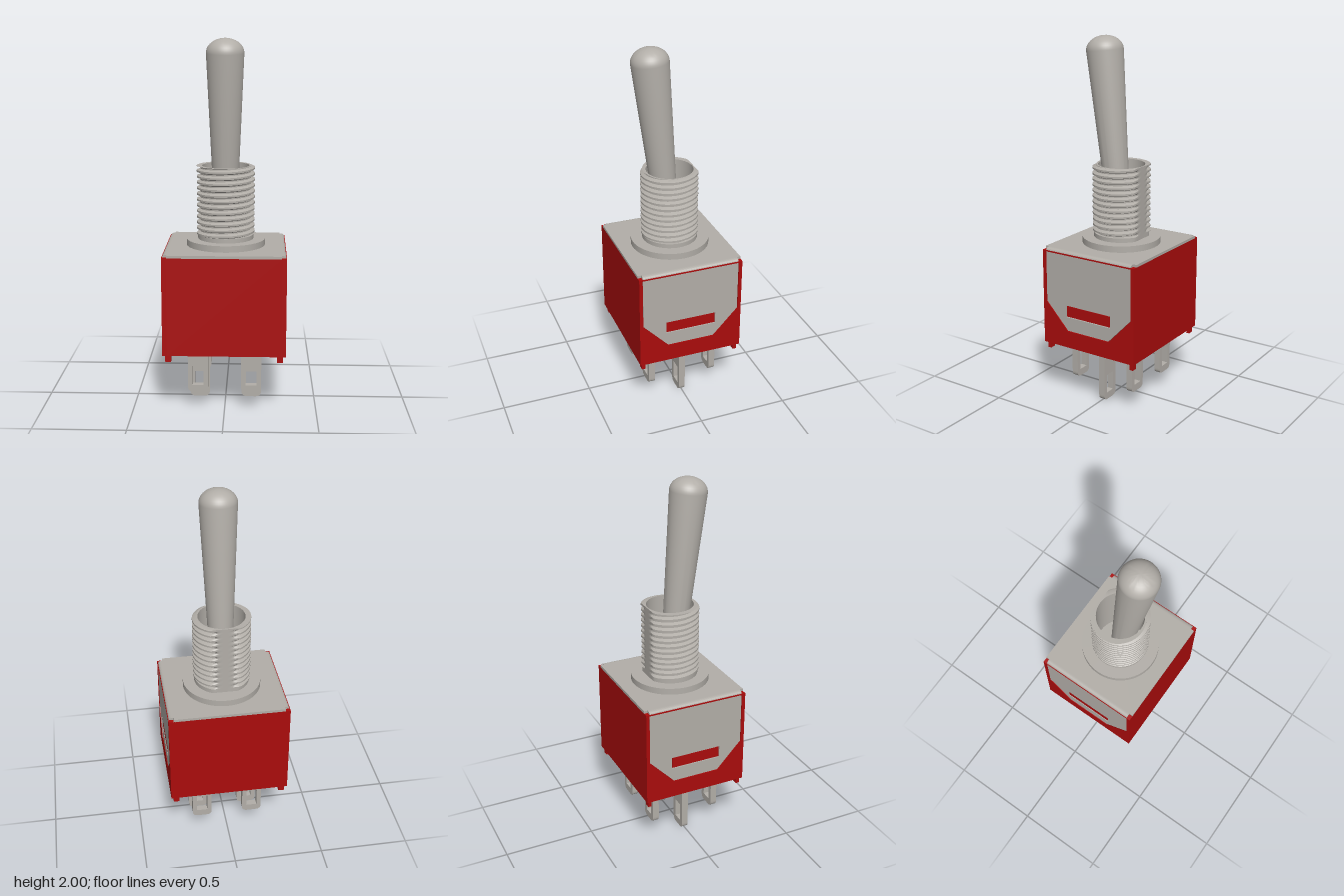
import * as THREE from 'three';
import { toCreasedNormals } from 'three/addons/utils/BufferGeometryUtils.js';

const red = new THREE.MeshStandardMaterial({ color: 0xaa0c0c });
red.name = 'red plastic';
const grey = new THREE.MeshStandardMaterial({ color: 0xb2aea8 });
grey.name = 'grey metal';

function add(parent, name, geometry, material, x = 0, y = 0, z = 0) {
  const mesh = new THREE.Mesh(geometry, material);
  mesh.name = name;
  mesh.position.set(x, y, z);
  parent.add(mesh);
  return mesh;
}

const polygon = (pts) => pts.map(([x, y]) => new THREE.Vector2(x, y));
const rectangle = (x0, y0, x1, y1) => polygon([[x0, y0], [x1, y0], [x1, y1], [x0, y1]]);
const extrude = (shape, depth) =>
  new THREE.ExtrudeGeometry(shape, { depth, bevelEnabled: false, curveSegments: 8 });

// Hexagonal outline of the bracket's side plate
const plateOutline = (grow) => polygon([
  [-0.132 - grow, 0.433 - grow], [0.132 + grow, 0.433 - grow], [0.272 + grow, 0.58],
  [0.272 + grow, 0.865], [-0.272 - grow, 0.865], [-0.272 - grow, 0.58],
]);

// Threaded bushing: rows follow the helix, cut to a flat at the back
function bushingGeometry() {
  const bottom = 0.945, top = 1.322, pitch = 0.0314, segments = 72, flat = -0.135;
  const root = 0.138, crest = 0.158, bore = 0.128;
  const radiusAt = (phase) => {
    const p = phase - Math.floor(phase);
    if (p < 0.2) return root;
    if (p < 0.45) return root + (crest - root) * (p - 0.2) / 0.25;
    if (p < 0.75) return crest;
    return crest - (crest - root) * (p - 0.75) / 0.25;
  };
  const rows = [() => [0.152, 0.915], () => [0.152, bottom]];
  for (let turn = 0; turn < 14; turn++) {
    for (const step of [0, 0.2, 0.45, 0.75]) {
      rows.push((a) => {
        const y = THREE.MathUtils.clamp(bottom + (turn + step - a) * pitch, bottom, top);
        return [radiusAt((y - bottom) / pitch + a + 1e-6), y];
      });
    }
  }
  rows.push(() => [bore, top], () => [bore, 0.915]);
  const positions = [], index = [];
  rows.forEach((row, j) => {
    for (let i = 0; i <= segments; i++) {
      const a = i / segments, [r, y] = row(a);
      const angle = a * Math.PI * 2;
      positions.push(r * Math.cos(angle), y, Math.max(flat, r * Math.sin(angle)));
      if (j === rows.length - 1 || i === segments) continue;
      const k = j * (segments + 1) + i, up = k + segments + 1;
      index.push(k, up, k + 1, k + 1, up, up + 1);
    }
  });
  const geometry = new THREE.BufferGeometry();
  geometry.setAttribute('position', new THREE.Float32BufferAttribute(positions, 3));
  geometry.setIndex(index);
  return toCreasedNormals(geometry, 0.5);
}

// Solder lug with rounded lower corners and an eye
function lugGeometry(length) {
  const w = 0.055, c = 0.03;
  const shape = new THREE.Shape();
  shape.moveTo(-w, length);
  shape.lineTo(-w, c);
  shape.quadraticCurveTo(-w, 0, -w + c, 0);
  shape.lineTo(w - c, 0);
  shape.quadraticCurveTo(w, 0, w, c);
  shape.lineTo(w, length);
  shape.holes.push(new THREE.Path(rectangle(-0.03, 0.04, 0.03, 0.148)));
  return extrude(shape, 0.036).translate(0, 0, -0.018);
}

export function createModel() {
  const model = new THREE.Group();
  model.name = 'toggleSwitch';

  // Plastic housing
  add(model, 'housingCore', new THREE.BoxGeometry(0.61, 0.537, 0.586), red, 0, 0.6035, 0);
  const cheek = new THREE.Shape(rectangle(-0.293, 0.335, 0.293, 0.872));
  cheek.holes.push(new THREE.Path(plateOutline(0.002)));

  // Metal bracket
  add(model, 'bracketTop', new THREE.BoxGeometry(0.604, 0.015, 0.586), grey, 0, 0.8785, 0);
  const plate = new THREE.Shape(plateOutline(0));
  plate.holes.push(new THREE.Path(rectangle(-0.143, 0.511, 0.143, 0.578)));
  const bend = new THREE.Shape();
  bend.moveTo(0.302, 0.871);
  bend.lineTo(0.327, 0.871);
  bend.quadraticCurveTo(0.325, 0.886, 0.302, 0.886);

  // Housing cheek, side plate and latch; the second side is turned half round
  for (const turn of [0, Math.PI]) {
    const side = new THREE.Group();
    side.name = turn ? 'rightSide' : 'leftSide';
    side.rotation.y = turn;
    model.add(side);
    add(side, 'housingCheek', extrude(cheek, 0.025), red, 0.305).rotation.y = Math.PI / 2;
    add(side, 'sidePlate', extrude(plate, 0.022), grey, 0.305).rotation.y = Math.PI / 2;
    add(side, 'latch', new THREE.BoxGeometry(0.02, 0.061, 0.28), red, 0.314, 0.5445, 0);
    add(side, 'bracketBend', extrude(bend, 0.544), grey, 0, 0, -0.272);
    for (const z of [-0.271, 0.271]) {
      add(side, 'foot', new THREE.BoxGeometry(0.032, 0.04, 0.02), red, 0.3, 0.318, z);
    }
  }

  // Washer and threaded bushing
  add(model, 'washer', new THREE.CylinderGeometry(0.215, 0.215, 0.036, 64), grey, 0, 0.903, 0);
  add(model, 'bushing', bushingGeometry(), grey);

  // Tapered lever with domed tip, tilted to the front
  const profile = [[0, 0], [0.056, 0], [0.1, 1.025]];
  for (let i = 1; i <= 10; i++) {
    const a = (i / 10) * Math.PI / 2;
    profile.push([i === 10 ? 0 : 0.1 * Math.cos(a), 1.025 + 0.076 * Math.sin(a)]);
  }
  const leverGeometry = toCreasedNormals(new THREE.LatheGeometry(polygon(profile), 48), 0.6);
  add(model, 'lever', leverGeometry, grey, 0, 0.905, 0.003).rotation.x = 0.1;

  // Six solder lugs, the middle pair longer
  for (const x of [-0.145, 0.145]) {
    for (const z of [-0.183, 0, 0.183]) {
      const foot = z === 0 ? 0 : 0.097;
      add(model, 'solderLug', lugGeometry(0.34 - foot), grey, x, foot, z);
    }
  }
  return model;
}
